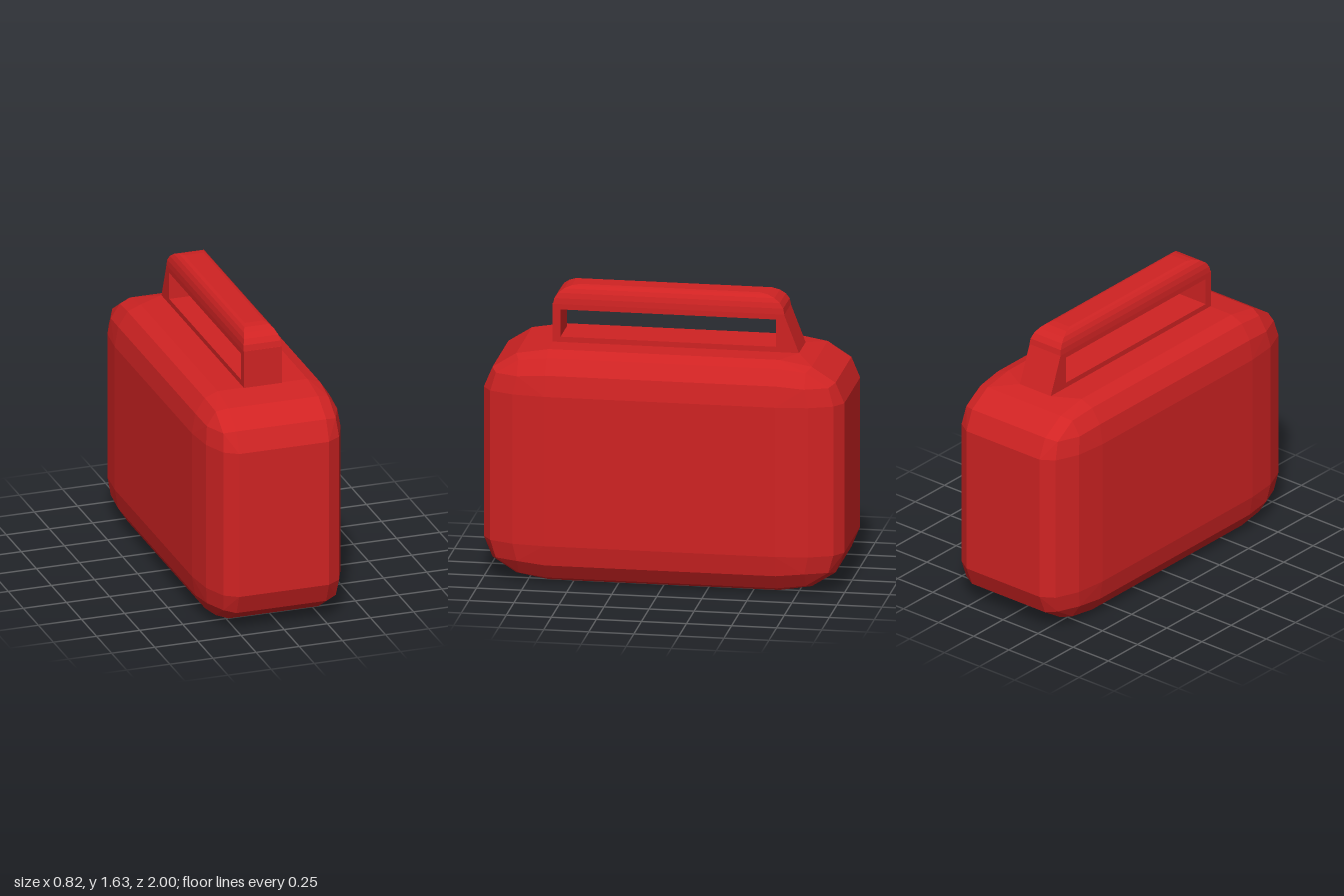
import * as THREE from 'three';
import { ConvexGeometry } from 'three/addons/geometries/ConvexGeometry.js';

const V = (x, y, z) => new THREE.Vector3(x, y, z);
const SIGNS = [-1, 1];

// Calls fn once for every sign combination of x and z
const mirrorXZ = (fn) => SIGNS.forEach((sx) => SIGNS.forEach((sz) => fn(sx, sz)));

// Case: box with stretched three-step rounded corners
function caseGeometry() {
  const a = Math.cos(Math.PI / 6), i = 0.785, j = 0.438;
  const corner = [
    [1, 0, 0], [0, 1, 0], [0, 0, 1],
    [a, 0.5, 0], [0.5, a, 0], [a, 0, 0.5], [0.5, 0, a], [0, a, 0.5], [0, 0.5, a],
    [i, j, j], [j, i, j], [j, j, i],
  ];
  const points = [];
  mirrorXZ((sx, sz) => SIGNS.forEach((sy) => {
    for (const [x, y, z] of corner) {
      points.push(V(sx * (0.26 + 0.15 * x), 0.655 + sy * (0.425 + 0.23 * y), sz * (0.64 + 0.36 * z)));
    }
  }));
  // Top surface reaches back under the slanted handle foot
  for (const sx of SIGNS) points.push(V(sx * 0.11, 1.31, -0.725));
  return new ConvexGeometry(points);
}

// Handle frame: side outline with a slanted rear foot and a rectangular opening
function frameGeometry() {
  const outline = [[0.645, 1.305], [0.645, 1.525], [-0.64, 1.525], [-0.725, 1.305]];
  const opening = [[0.6, 1.34], [-0.595, 1.34], [-0.595, 1.495], [0.6, 1.495]];
  const toPoints = (list) => list.map(([z, y]) => new THREE.Vector2(z, y));
  const shape = new THREE.Shape(toPoints(outline));
  shape.holes.push(new THREE.Path(toPoints(opening)));
  const geometry = new THREE.ExtrudeGeometry(shape, { depth: 0.22, bevelEnabled: false });
  return geometry.translate(0, 0, -0.11).rotateY(-Math.PI / 2);
}

// Handle grip: rectangles shrinking along a quarter curve
function gripGeometry() {
  const points = [], steps = 5;
  for (let s = 0; s <= steps; s++) {
    const t = (s / steps) * Math.PI / 2;
    const x = 0.055 + 0.055 * Math.cos(t), z = 0.5 + 0.142 * Math.cos(t);
    mirrorXZ((sx, sz) => points.push(V(sx * x, 1.525 + 0.105 * Math.sin(t), sz * z)));
  }
  return new ConvexGeometry(points);
}

export function createModel() {
  const red = new THREE.MeshStandardMaterial({ color: 0xd02323 });
  red.name = 'red';
  red.flatShading = true;

  const model = new THREE.Group();
  model.name = 'carryCase';
  const handle = new THREE.Group();
  handle.name = 'handle';

  const add = (parent, name, geometry) => {
    const mesh = new THREE.Mesh(geometry, red);
    mesh.name = name;
    parent.add(mesh);
  };
  add(model, 'caseBody', caseGeometry());
  add(handle, 'handleFrame', frameGeometry());
  add(handle, 'handleGrip', gripGeometry());
  model.add(handle);
  return model;
}
